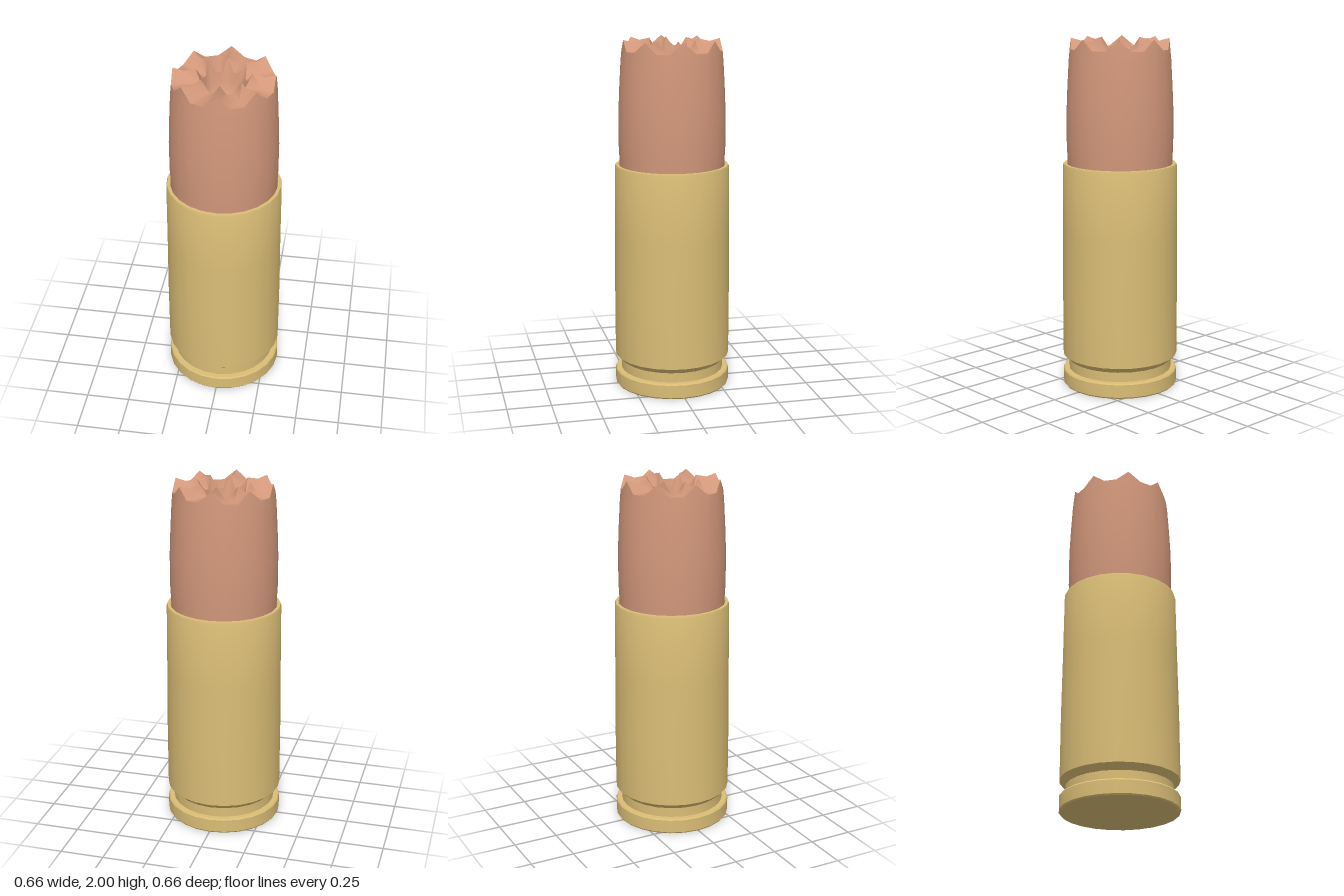
import * as THREE from 'three';
import { toCreasedNormals } from 'three/addons/utils/BufferGeometryUtils.js';

const SIDES = 24;

// Surface through rings; each ring gives [radius, height] at spikes and in the gaps between them.
function ringSurface(rings) {
  const pos = [], index = [];
  for (const [r, y, spikeR = r, spikeY = y] of rings) {
    for (let i = 0; i < SIDES; i++) {
      const a = (i / SIDES) * Math.PI * 2;
      const spike = i % 3 === 0;
      const radius = spike ? spikeR : r;
      pos.push(radius * Math.sin(a), spike ? spikeY : y, radius * Math.cos(a));
    }
  }
  for (let j = 0; j < rings.length - 1; j++) {
    for (let i = 0; i < SIDES; i++) {
      const n = (i + 1) % SIDES;
      const a = j * SIDES + i, b = j * SIDES + n;
      const c = a + SIDES, d = b + SIDES;
      index.push(a, b, d, a, d, c);
    }
  }
  const geo = new THREE.BufferGeometry();
  geo.setAttribute('position', new THREE.Float32BufferAttribute(pos, 3));
  geo.setIndex(index);
  return geo;
}

export function createModel() {
  const group = new THREE.Group();
  const brass = new THREE.MeshStandardMaterial({ color: 0xdabd76 });
  brass.name = 'brass';
  const copper = new THREE.MeshStandardMaterial({ color: 0xd3987b });
  copper.name = 'copper';

  // Casing: flat base, rim, extractor groove, slightly tapered wall and mouth
  const profile = [
    [0, 0], [0.325, 0], [0.331, 0.008], [0.331, 0.082], [0.325, 0.09], [0.297, 0.09],
    [0.297, 0.145], [0.331, 0.178], [0.331, 0.55], [0.327, 0.9], [0.324, 1.285],
    [0.32, 1.297], [0.303, 1.297], [0.295, 1.27],
  ].map(([r, y]) => new THREE.Vector2(r, y));
  const casing = new THREE.Mesh(toCreasedNormals(new THREE.LatheGeometry(profile, SIDES), 0.6), brass);
  casing.name = 'casing';
  group.add(casing);

  // Bullet: tapered wall, eight-spiked crown and hollow point
  const bulletGeo = ringSurface([
    [0.296, 1.26], [0.298, 1.32], [0.302, 1.4], [0.302, 1.58], [0.296, 1.72], [0.287, 1.88],
    [0.281, 1.94, 0.275, 2],      // outer edge of the crown
    [0.217, 1.94, 0.217, 1.985],  // ridges and valleys
    [0.122, 1.93, 0.15, 2],       // inner edge of the crown
    [0.112, 1.87], [0.09, 1.81], [0.05, 1.775], [0, 1.765],
  ]);
  const bullet = new THREE.Mesh(toCreasedNormals(bulletGeo, 1.15), copper);
  bullet.name = 'bullet';
  group.add(bullet);

  return group;
}
